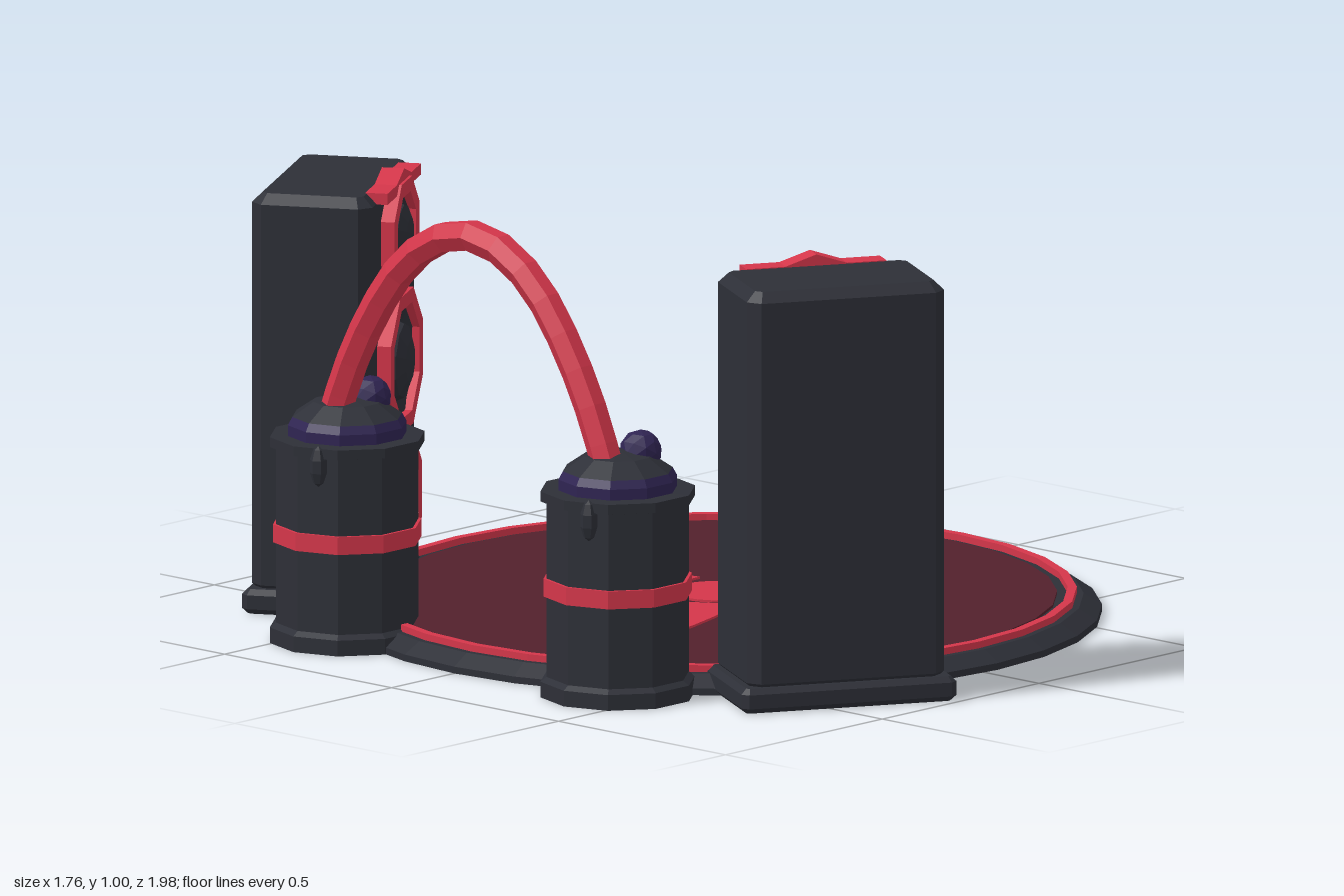
import * as THREE from 'three';

const mat = (name, color) => {
  const m = new THREE.MeshStandardMaterial({ color });
  m.name = name;
  return m;
};

// Faceted normals for the low-poly look
function flat(geo) {
  const g = geo.index ? geo.toNonIndexed() : geo;
  g.computeVertexNormals();
  return g;
}

const lathe = (pts, sides, phase = 0) =>
  flat(new THREE.LatheGeometry(pts.map(([r, y]) => new THREE.Vector2(r, y)), sides, phase));

// Ring with a rectangular section, standing along y
const ring = (ri, ro, y0, y1, sides, phase = 0) =>
  lathe([[ri, y0], [ro, y0], [ro, y1], [ri, y1], [ri, y0]], sides, phase);

const polygon = (pts) => new THREE.Shape(pts.map(([x, y]) => new THREE.Vector2(x, y)));

// Box with every edge chamfered, standing on y = 0
function chamferBox(w, h, d, b) {
  const x = w / 2 - b, z = d / 2 - b, c = b * 0.6;
  const s = polygon([[-x + c, -z], [x - c, -z], [x, -z + c], [x, z - c],
    [x - c, z], [-x + c, z], [-x, z - c], [-x, -z + c]]);
  const g = new THREE.ExtrudeGeometry(s, {
    depth: h - 2 * b, bevelEnabled: true, bevelSize: b, bevelThickness: b, bevelSegments: 1,
  });
  return flat(g.translate(0, 0, b).rotateX(-Math.PI / 2));
}

export function createModel() {
  const dark = mat('charcoal', 0x2d2f37);
  const red = mat('red', 0xd4364a);
  const maroon = mat('maroon', 0x52212c);
  const purple = mat('purple', 0x2f2452);

  const add = (parent, name, geo, material, x = 0, y = 0, z = 0) => {
    const m = new THREE.Mesh(geo, material);
    m.name = name;
    m.position.set(x, y, z);
    parent.add(m);
    return m;
  };
  const group = (parent, name, x = 0, y = 0, z = 0) => {
    const g = new THREE.Group();
    g.name = name;
    g.position.set(x, y, z);
    if (parent) parent.add(g);
    return g;
  };

  const model = group(null, 'stage');

  // Round platform
  const floor = group(model, 'platform', 0.04, 0, 0);
  add(floor, 'platformBase', lathe([[0, 0], [0.84, 0], [0.84, 0.015], [0.8, 0.04], [0, 0.04]], 32), dark);
  add(floor, 'platformTrim', ring(0.765, 0.785, 0.03, 0.055, 32), red);
  add(floor, 'danceFloor', lathe([[0.742, 0.035], [0.742, 0.046], [0, 0.046]], 32), maroon);

  // Three-bladed floor marking
  const thin = { depth: 0.005, bevelEnabled: false };
  const blade = polygon([[-0.077, 0.125], [0.077, 0.125], [0.055, 0.25], [0.028, 0.36], [0.012, 0.4],
    [0, 0.41], [-0.012, 0.4], [-0.028, 0.36], [-0.055, 0.25]]);
  for (let i = 0; i < 3; i++) {
    const b = add(floor, 'floorBlade', flat(new THREE.ExtrudeGeometry(blade, thin).rotateX(-Math.PI / 2)),
      red, 0, 0.046, 0);
    b.rotation.y = i * Math.PI * 2 / 3;
  }
  add(floor, 'floorHub', flat(new THREE.CylinderGeometry(0.1, 0.1, 0.005, 20)), red, 0, 0.0485, 0);

  // Speaker towers, angled toward the middle of the platform
  const drivers = [[0.215, 0.158], [0.53, 0.165], [0.815, 0.128]];
  const crest = polygon([[-0.16, 0.912], [0.16, 0.912], [0.16, 0.937], [0.07, 0.937], [0, 0.96],
    [-0.07, 0.937], [-0.16, 0.937]]);
  for (const side of [-1, 1]) {
    const s = group(model, 'speaker', -0.395, 0, side * 0.75);
    s.rotation.y = side < 0 ? Math.PI / 6 : Math.PI * 5 / 6;
    add(s, 'speakerPlinth', chamferBox(0.49, 0.055, 0.29, 0.012), dark);
    add(s, 'speakerCabinet', chamferBox(0.45, 0.895, 0.27, 0.022), dark, 0, 0.04, 0.005);
    add(s, 'speakerCrest', flat(new THREE.ExtrudeGeometry(crest, { depth: 0.05, bevelEnabled: false })),
      red, 0, 0, 0.115);
    for (const [y, r] of drivers) {
      const d = group(s, 'driver', 0, y, 0.135);
      d.rotation.x = Math.PI / 2;
      add(d, 'driverRing', ring(r - 0.034, r, 0, 0.036, 8, Math.PI / 8), red);
      add(d, 'driverCone', lathe([[r - 0.03, 0.02], [r * 0.55, 0.012], [r * 0.5, 0.03], [r * 0.28, 0.044],
        [0, 0.05]], 10), dark);
    }
  }

  // Barrels with domed lids
  for (const side of [-1, 1]) {
    const b = group(model, 'barrel', -0.71, 0, side * 0.405);
    const ph = Math.PI / 10;
    add(b, 'barrelBody', lathe([[0, 0], [0.172, 0], [0.172, 0.035], [0.158, 0.045], [0.158, 0.435],
      [0.172, 0.438], [0.172, 0.46], [0, 0.465]], 10, ph), dark);
    add(b, 'barrelBand', ring(0.15, 0.165, 0.225, 0.265, 10, ph), red);
    add(b, 'lidCollar', lathe([[0.132, 0.455], [0.132, 0.485], [0.122, 0.503], [0, 0.503]], 10, ph), purple);
    add(b, 'lidDome', lathe([[0, 0.49], [0.128, 0.49], [0.122, 0.503], [0.075, 0.535], [0, 0.55]], 10, ph), dark);
    add(b, 'lidKnob', flat(new THREE.IcosahedronGeometry(0.047, 1)), purple, 0.05, 0.54, 0.022);
    // Rim latches
    for (const deg of [-35, 160]) {
      const a = deg * Math.PI / 180;
      const l = add(b, 'rimLatch', flat(new THREE.SphereGeometry(0.02, 6, 5)), dark,
        0.16 * Math.cos(a), 0.42, 0.16 * Math.sin(a));
      l.scale.y = 2.3;
    }
  }

  // Pipe arching between the two barrels
  const half = [[0.42, 0.48], [0.365, 0.62], [0.295, 0.75], [0.205, 0.87], [0.105, 0.945]];
  const path = [...half, [0, 0.97], ...half.map(([z, y]) => [-z, y]).reverse()]
    .map(([z, y]) => new THREE.Vector3(0, y, z));
  add(model, 'archPipe', flat(new THREE.TubeGeometry(new THREE.CatmullRomCurve3(path), 16, 0.036, 6)),
    red, -0.745, 0, 0);

  return model;
}
